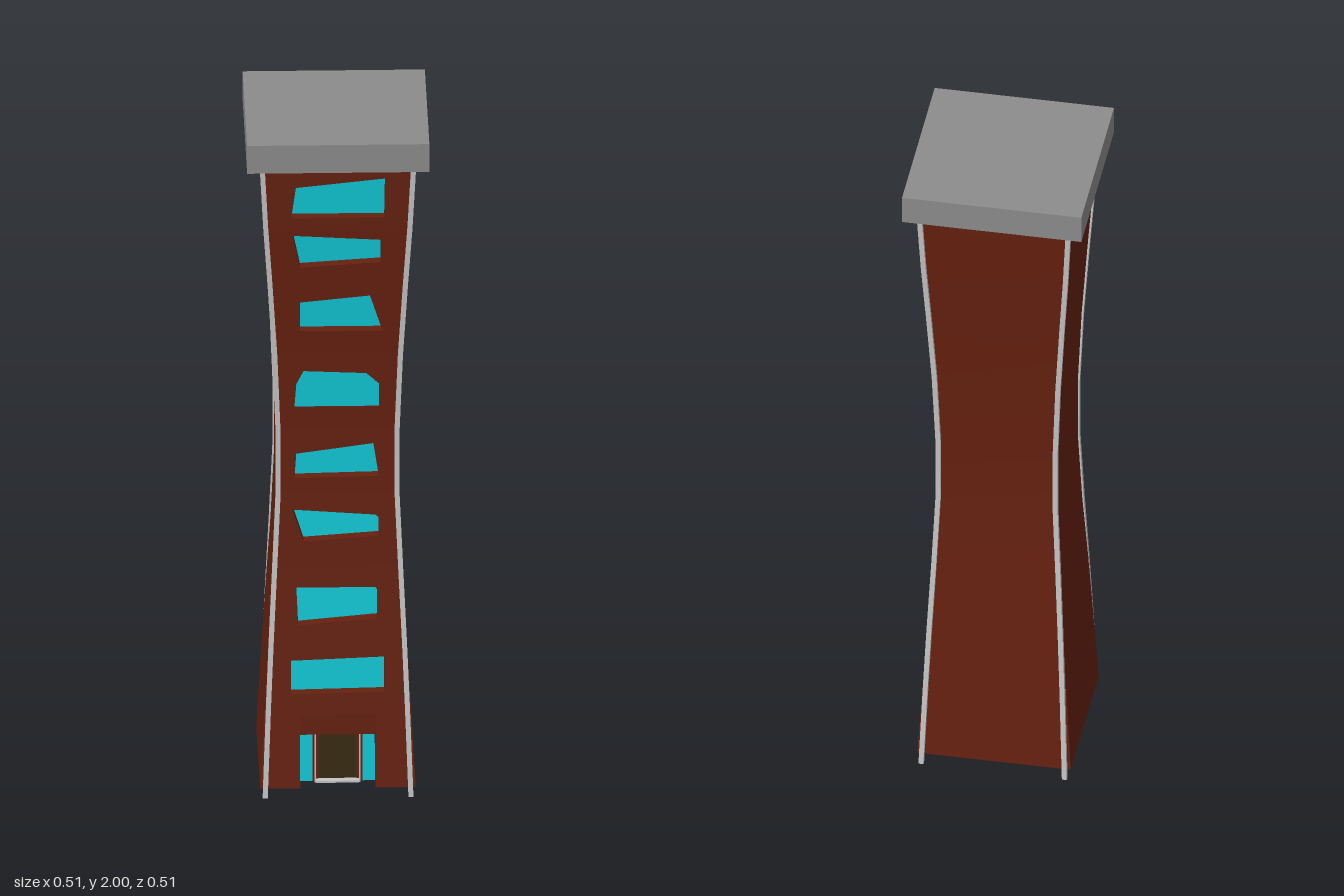
import * as THREE from 'three';

const mat = (name, color, side = THREE.FrontSide) => {
  const m = new THREE.MeshStandardMaterial({ color, side });
  m.name = name;
  return m;
};

// Half-width of the pinched square tower at each storey line
const LEVELS = [0.02, 0.27, 0.46, 0.68, 0.9, 1.1, 1.33, 1.555, 1.73, 1.92];
const HALF = [0.217, 0.203, 0.192, 0.178, 0.168, 0.168, 0.177, 0.191, 0.203, 0.213];
function halfAt(y) {
  let i = 0;
  while (i < LEVELS.length - 2 && y > LEVELS[i + 1]) i++;
  return THREE.MathUtils.mapLinear(y, LEVELS[i], LEVELS[i + 1], HALF[i], HALF[i + 1]);
}

// Window outlines, one per storey from the bottom up
const WINDOWS = [
  [[-0.13, 0.3], [0.13, 0.305], [0.13, 0.41], [-0.13, 0.4]],
  [[-0.11, 0.505], [0.11, 0.525], [0.11, 0.61], [0.105, 0.617], [-0.115, 0.617]],
  [[-0.095, 0.755], [0.115, 0.77], [0.115, 0.825], [0.105, 0.833], [-0.125, 0.85]],
  [[-0.12, 0.945], [0.115, 0.95], [0.1, 1.05], [-0.115, 1.02]],
  [[-0.12, 1.165], [0.115, 1.165], [0.115, 1.235], [0.08, 1.267], [-0.095, 1.275], [-0.115, 1.235]],
  [[-0.105, 1.4], [0.125, 1.4], [0.09, 1.51], [-0.105, 1.49]],
  [[-0.105, 1.6], [0.12, 1.615], [0.12, 1.685], [-0.125, 1.7]],
  [[-0.13, 1.755], [0.13, 1.755], [0.132, 1.877], [-0.117, 1.85]],
];
const FLUSH = 4; // this window sits level with the wall

const vecs = (pts) => pts.map(([x, y]) => new THREE.Vector2(x, y));

// Flat outline laid onto the sloping front, set back by depth
function facePanel(points, depth, hole) {
  const shape = new THREE.Shape(vecs(points));
  if (hole) shape.holes.push(new THREE.Path(vecs(hole)));
  const geo = new THREE.ShapeGeometry(shape);
  const p = geo.attributes.position;
  for (let i = 0; i < p.count; i++) p.setZ(i, halfAt(p.getY(i)) - depth);
  geo.computeVertexNormals();
  return geo;
}

// Side faces of a recess, running back from an outline
function reveal(points, depth, closed) {
  const pos = [];
  const n = closed ? points.length : points.length - 1;
  for (let i = 0; i < n; i++) {
    const [ax, ay] = points[i];
    const [bx, by] = points[(i + 1) % points.length];
    const az = halfAt(ay), bz = halfAt(by);
    pos.push(ax, ay, az, bx, by, bz, bx, by, bz - depth);
    pos.push(ax, ay, az, bx, by, bz - depth, ax, ay, az - depth);
  }
  const geo = new THREE.BufferGeometry();
  geo.setAttribute('position', new THREE.Float32BufferAttribute(pos, 3));
  geo.computeVertexNormals();
  return geo;
}

// Plain wall following the pinched profile
function plainWall() {
  const geo = new THREE.PlaneGeometry(2, 1, 1, LEVELS.length - 1);
  const p = geo.attributes.position;
  for (let i = 0; i < p.count; i++) {
    const k = LEVELS.length - 1 - Math.floor(i / 2);
    p.setXYZ(i, Math.sign(p.getX(i)) * HALF[k], LEVELS[k], HALF[k]);
  }
  geo.computeVertexNormals();
  return geo;
}

// Square strip that follows a tower corner
function cornerStrip(sx, sz) {
  const s = 0.007;
  const geo = new THREE.BoxGeometry(2 * s, 1, 2 * s, 1, LEVELS.length - 1, 1);
  const p = geo.attributes.position;
  for (let i = 0; i < p.count; i++) {
    const k = Math.round((p.getY(i) + 0.5) * (LEVELS.length - 1));
    const y = k === 0 ? 0.004 : LEVELS[k];
    const foot = Math.max(0, 1 - y / 0.7);
    const cx = HALF[k] - 0.002 - 0.012 * foot;
    const cz = HALF[k] + 0.004 + 0.012 * foot;
    p.setXYZ(i, p.getX(i) + sx * cx, y, p.getZ(i) + sz * cz);
  }
  geo.computeVertexNormals();
  return geo;
}

export function createModel() {
  const model = new THREE.Group();
  model.name = 'tower';
  const brick = mat('brick red', 0x66210f, THREE.DoubleSide);
  const stone = mat('roof grey', 0x8c8c8c);
  const trim = mat('light grey trim', 0xc4c4c4);
  const glass = mat('cyan glass', 0x10c8d6, THREE.DoubleSide);
  const wood = mat('dark wood', 0x35290f, THREE.DoubleSide);

  const add = (name, geo, material, parent = model) => {
    const mesh = new THREE.Mesh(geo, material);
    mesh.name = name;
    parent.add(mesh);
    return mesh;
  };
  const box = (name, w, h, d, x, y, z, material, parent) =>
    add(name, new THREE.BoxGeometry(w, h, d), material, parent).position.set(x, y, z);

  // Roof slab
  box('roof', 0.508, 0.085, 0.508, 0, 1.9575, 0, stone);

  // Right, back and left walls
  ['leftWall', 'backWall', 'rightWall'].forEach((name, i) => {
    add(name, plainWall(), brick).rotation.y = (i + 1) * Math.PI / 2;
  });

  // Front wall, one band per storey, with a recessed window in each
  WINDOWS.forEach((outline, i) => {
    const k = i + 1;
    const [a, b, y0, y1] = [HALF[k], HALF[k + 1], LEVELS[k], LEVELS[k + 1]];
    const storey = new THREE.Group();
    storey.name = 'storey' + k;
    model.add(storey);
    const depth = i === FLUSH ? 0.001 : 0.032;
    add('frontWall', facePanel([[-a, y0], [a, y0], [b, y1], [-b, y1]], 0, outline), brick, storey);
    add('windowReveal', reveal(outline, depth, true), brick, storey);
    add('windowGlass', facePanel(outline, depth), glass, storey);
  });

  // Ground storey with the entrance notch
  const entrance = new THREE.Group();
  entrance.name = 'entrance';
  model.add(entrance);
  const [w, bottom, top, head] = [0.105, 0.02, 0.238, 0.165];
  const notch = [[-w, bottom], [-w, top], [w, top], [w, bottom]];
  add('frontWall', facePanel([[-HALF[0], bottom], ...notch, [HALF[0], bottom],
    [HALF[1], LEVELS[1]], [-HALF[1], LEVELS[1]]], 0), brick, entrance);
  add('entranceReveal', reveal(notch, 0.055, false), brick, entrance);

  // Lintel, door and side lights
  const strip = (x0, x1, y0, y1) => [[x0, y0], [x1, y0], [x1, y1], [x0, y1]];
  box('lintel', 2 * w, top - head, 0.025, 0, (top + head) / 2, halfAt(0.2) - 0.043, brick, entrance);
  add('door', facePanel(strip(-0.053, 0.053, bottom, head), 0.055), wood, entrance);
  for (const s of [-1, 1]) {
    const c = s * 0.087;
    add('sideLight', facePanel(strip(c - 0.017, c + 0.017, bottom, head), 0.05), glass, entrance);
    box('doorJamb', 0.017, head - bottom, 0.01, s * 0.0615, (head + bottom) / 2, halfAt(0.1) - 0.053, brick, entrance);
    box('doorPost', 0.005, head - bottom, 0.02, s * 0.062, (head + bottom) / 2, halfAt(0.1) - 0.045, trim, entrance);
  }
  box('doorSill', 0.12, 0.006, 0.02, 0, 0.023, halfAt(0.02) - 0.045, trim, entrance);

  // Corner strips
  for (const sx of [-1, 1]) for (const sz of [-1, 1]) add('cornerStrip', cornerStrip(sx, sz), trim);

  // Stand on the ground
  model.children.forEach((c) => { if (c.name === 'cornerStrip') c.position.y = -0.004; });
  return model;
}
